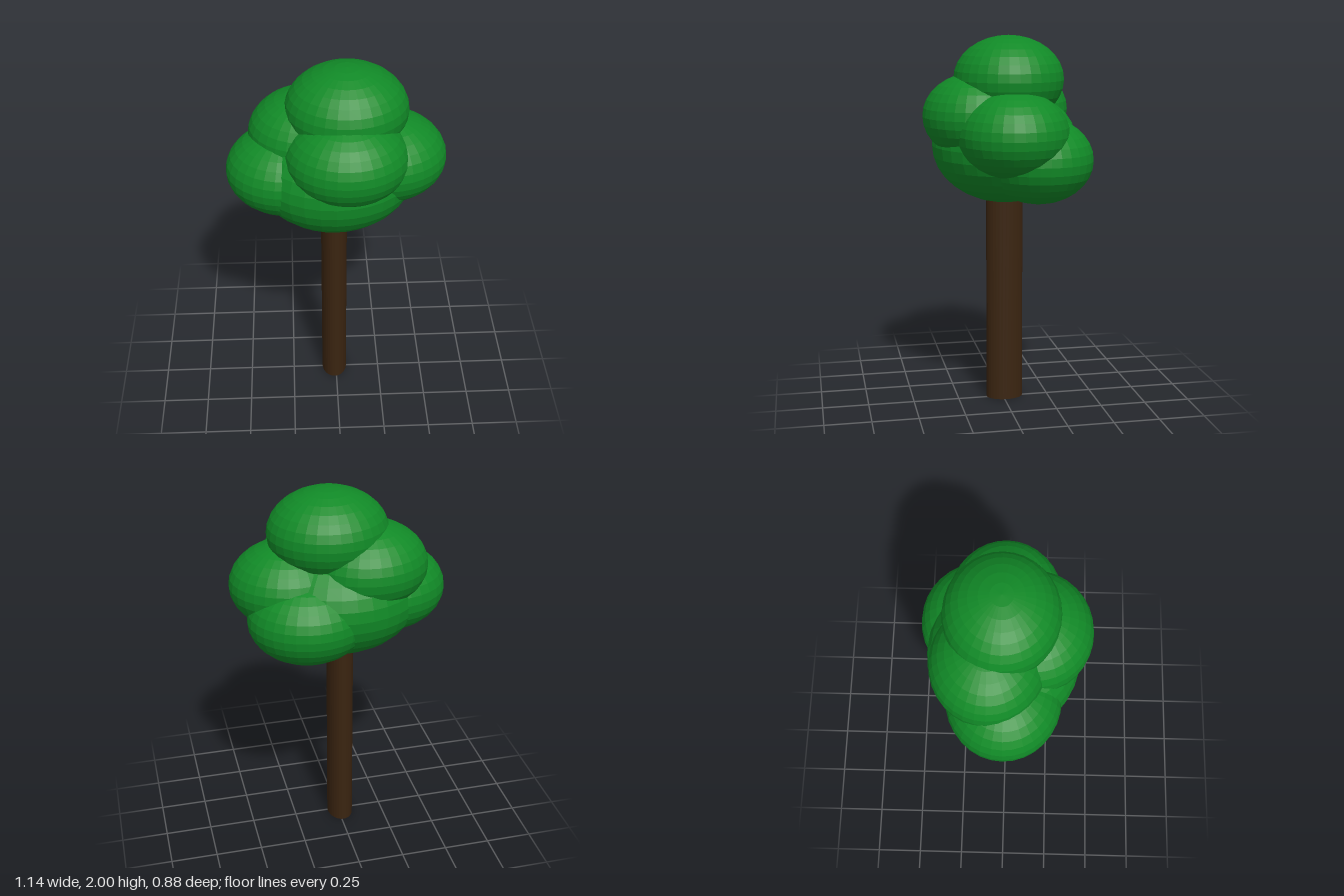
import * as THREE from 'three';

export function createModel() {
  const tree = new THREE.Group();
  tree.name = 'tree';
  const leafGreen = new THREE.MeshStandardMaterial({ color: 0x118a27, flatShading: true });
  leafGreen.name = 'leaf green';
  const barkBrown = new THREE.MeshStandardMaterial({ color: 0x3a2410, flatShading: true });
  barkBrown.name = 'bark brown';

  // Trunk: an oval column, deeper than it is wide
  const trunk = new THREE.Mesh(new THREE.CylinderGeometry(1, 1, 1.3, 32), barkBrown);
  trunk.name = 'trunk';
  trunk.scale.set(0.07, 1, 0.1);
  trunk.position.set(-0.01, 0.65, -0.01);
  tree.add(trunk);

  // Crown: one large clump with six equal smaller ones around it
  const crown = new THREE.Group();
  crown.name = 'crown';
  tree.add(crown);
  const ball = new THREE.SphereGeometry(1, 32, 16);
  const addClump = (name, position, size = 1) => {
    const clump = new THREE.Mesh(ball, leafGreen);
    clump.name = name;
    clump.position.set(...position);
    clump.scale.set(0.315, 0.23, 0.29).multiplyScalar(size);
    crown.add(clump);
  };
  addClump('coreClump', [-0.01, 1.42, -0.01], 1.34);
  addClump('topClump', [0.055, 1.77, -0.02]);
  addClump('frontClump', [0.05, 1.58, 0.145]);
  addClump('leftClump', [0.255, 1.5, -0.005]);
  addClump('rightClump', [-0.255, 1.43, -0.005]);
  addClump('backRightClump', [-0.135, 1.6, -0.085]);
  addClump('backLeftClump', [0.19, 1.36, -0.15]);

  return tree;
}
